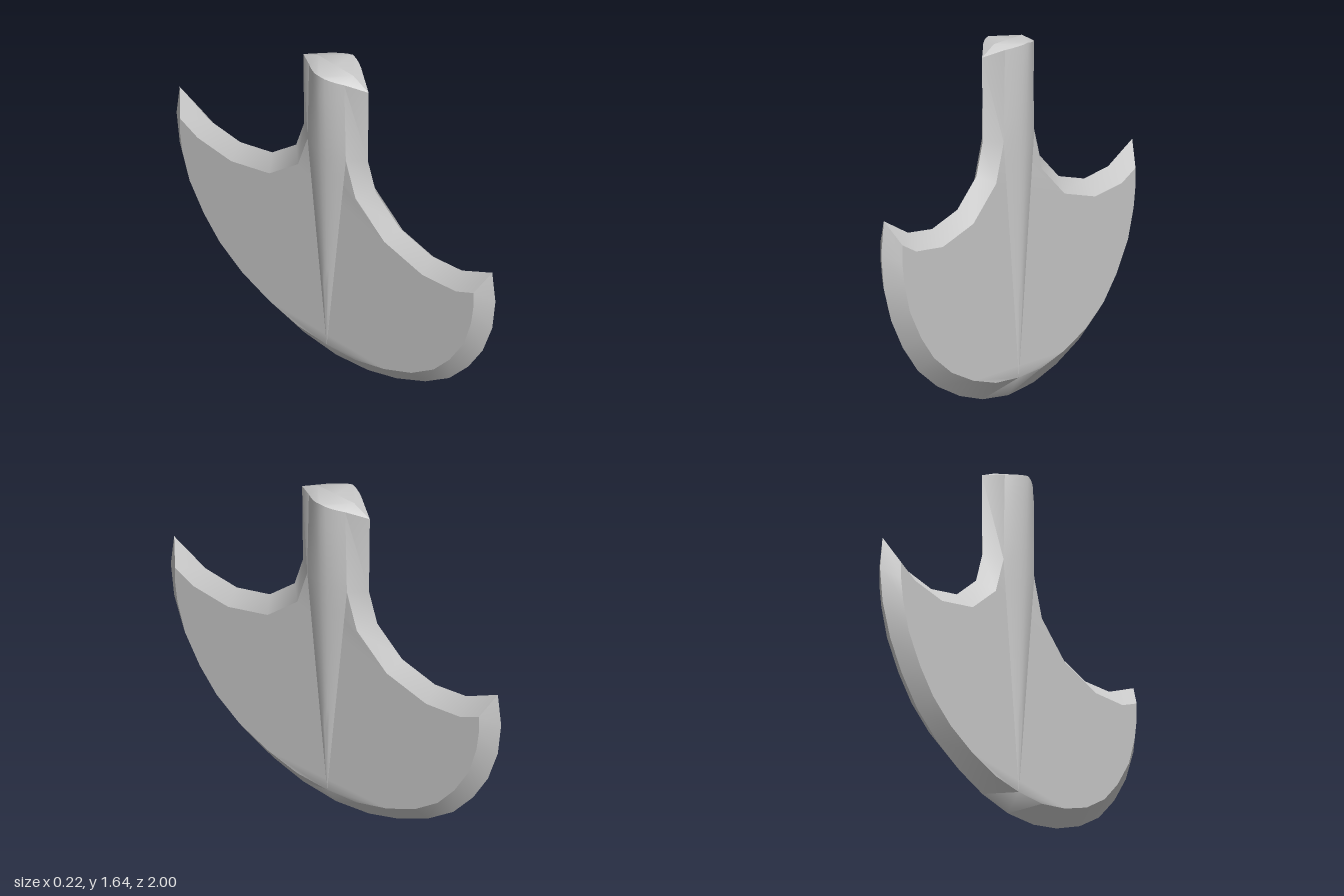
import * as THREE from 'three';
import { toCreasedNormals } from 'three/addons/utils/BufferGeometryUtils.js';

const FACE = 0.06;   // half thickness of the flat blade
const RIDGE = 0.11;  // half thickness of the neck at the top
const TOP = 1.645;

// Half outlines as [distance from the middle, height], from the bottom of the edge to the top of the neck
const OUTER = [[0, 0], [0.2, 0.02], [0.38, 0.07], [0.56, 0.15], [0.71, 0.25], [0.83, 0.38], [0.92, 0.52],
  [0.98, 0.68], [1, 0.84], [0.98, 0.995], [0.79, 0.905], [0.6, 0.885], [0.4, 0.935], [0.25, 1.06], [0.2, 1.21], [0.205, 1.6]];
const INNER = [[0, 0.09], [0.18, 0.1], [0.36, 0.145], [0.53, 0.215], [0.67, 0.31], [0.77, 0.42], [0.86, 0.56],
  [0.905, 0.7], [0.92, 0.8], [0.92, 0.88], [0.81, 0.83], [0.6, 0.81], [0.36, 0.87], [0.18, 1.02], [0.12, 1.2], [0.11, 1.625]];

// Full outline, counter-clockwise seen from +x
const mirrored = (half) => [...half, ...half.slice(1).reverse().map(([u, v]) => [-u, v])];

// Collects triangles given as points (u, v, x) and makes a creased geometry
function surface() {
  const pos = [];
  const tri = (...pts) => pts.forEach(([u, v, x]) => pos.push(x, v, -u));
  const quad = (a, b, c, d) => { tri(a, b, c); tri(a, c, d); };
  const build = (crease) => {
    const g = new THREE.BufferGeometry();
    g.setAttribute('position', new THREE.Float32BufferAttribute(pos, 3));
    return toCreasedNormals(g, crease);
  };
  return { tri, quad, build };
}

// Flat face with its bevel down to the middle plane
function bladeSide() {
  const s = surface();
  const outer = mirrored(OUTER).map(([u, v]) => [u, v, 0]);
  const inner = mirrored(INNER).map(([u, v]) => [u, v, FACE]);
  const n = outer.length;
  const topGap = OUTER.length - 1; // the neck stays open at the top
  for (let i = 0; i < n; i++) {
    if (i === topGap) continue;
    const j = (i + 1) % n;
    s.quad(outer[i], outer[j], inner[j], inner[i]);
  }
  const flat = inner.map(([u, v]) => new THREE.Vector2(u, v));
  THREE.ShapeUtils.triangulateShape(flat, []).forEach((f) => s.tri(...f.map((i) => inner[i])));
  return s.build(0.6);
}

// Section of the swelling at height fraction t, from -u to +u
const COLS = 8;
function swellSection(t) {
  const v = THREE.MathUtils.lerp(0.09, TOP, t);
  const w = v < 1.2 ? 0.12 * (v - 0.09) / 1.11 : THREE.MathUtils.lerp(0.12, 0.11, (v - 1.2) / 0.445);
  const rise = (RIDGE - FACE) * t;
  return Array.from({ length: COLS + 1 }, (_, i) => {
    const k = i / COLS * 2 - 1;
    const drop = t === 1 ? 0.02 * Math.abs(k) : 0;
    return [k * w, v - drop, FACE + rise * (1 - Math.abs(k) ** 1.6)];
  });
}

// Swelling that grows from the cutting edge into the neck
function neckSide() {
  const s = surface();
  const rows = 14;
  for (let r = 0; r < rows; r++) {
    const a = swellSection(r / rows), b = swellSection((r + 1) / rows);
    for (let i = 0; i < COLS; i++) {
      if (r === 0) s.tri(a[i], b[i + 1], b[i]);
      else s.quad(a[i], a[i + 1], b[i + 1], b[i]);
    }
  }
  return s.build(0.6);
}

// Half of the faceted end of the neck
function capSide() {
  const s = surface();
  const rim = swellSection(1);
  const left = [-0.11, TOP, 0], right = [0.11, TOP, 0], mid = [0, TOP, 0];
  s.tri([-0.205, 1.6, 0], rim[0], left);
  s.tri(rim[COLS], [0.205, 1.6, 0], right);
  for (let i = 0; i < COLS; i++) s.tri(rim[i], rim[i + 1], i < COLS / 2 ? left : right);
  s.tri(left, rim[COLS / 2], mid);
  s.tri(mid, rim[COLS / 2], right);
  return s.build(0.6);
}

export function createModel() {
  const model = new THREE.Group();
  model.name = 'crescentBlade';
  const material = new THREE.MeshStandardMaterial({ color: 0xcccccc });
  const parts = { blade: bladeSide(), neck: neckSide(), neckCap: capSide() };
  // The two sides match under a half turn
  for (const [side, turn] of [['left', 0], ['right', Math.PI]]) {
    const half = new THREE.Group();
    half.name = side + 'Side';
    half.rotation.y = turn;
    for (const [name, geometry] of Object.entries(parts)) {
      const mesh = new THREE.Mesh(geometry, material);
      mesh.name = name;
      half.add(mesh);
    }
    model.add(half);
  }
  return model;
}
